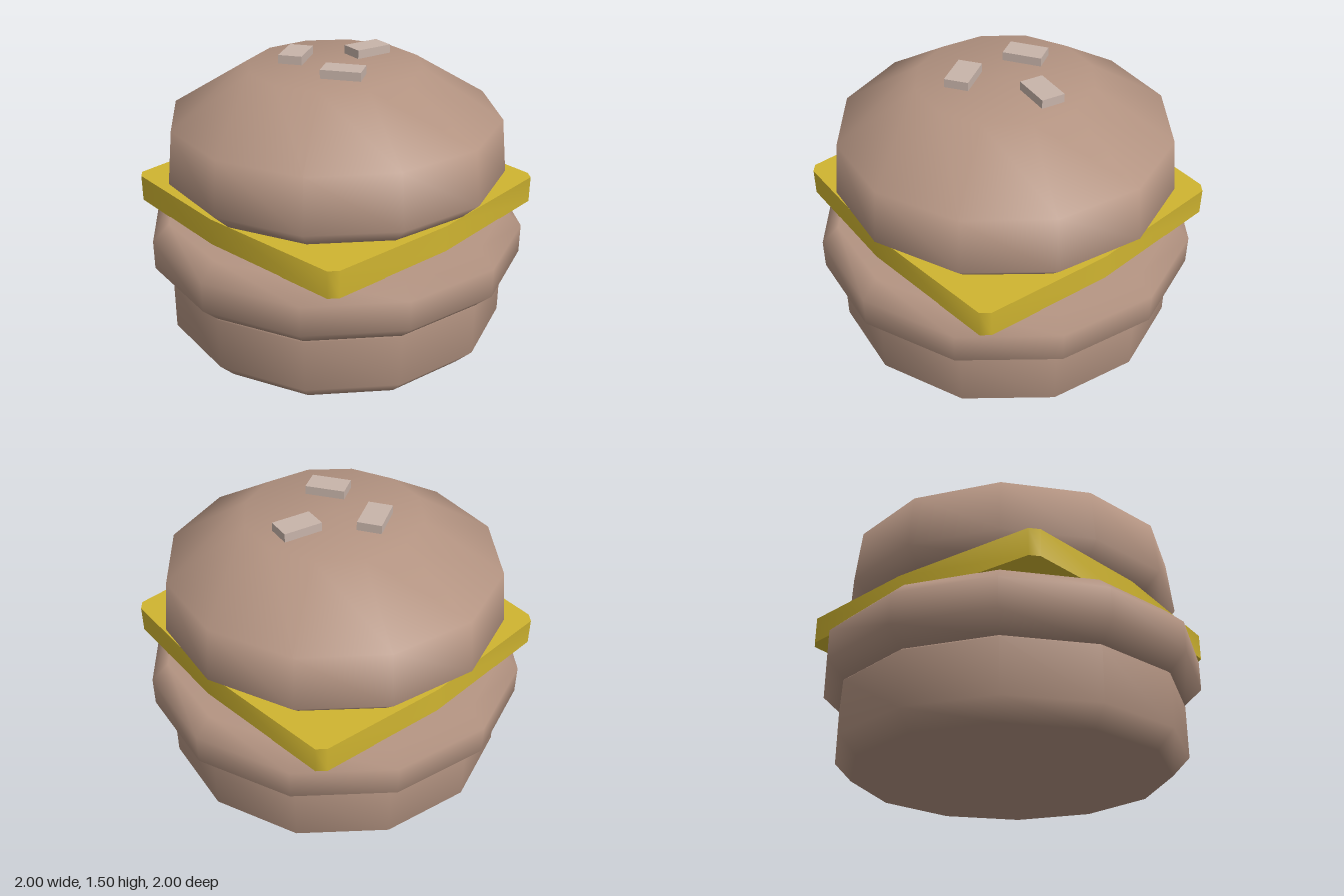
import * as THREE from 'three';
import { toCreasedNormals } from 'three/addons/utils/BufferGeometryUtils.js';

const SIDES = 12;
const material = (name, color) => {
  const m = new THREE.MeshStandardMaterial({ color });
  m.name = name;
  return m;
};

export function createModel() {
  const brown = material('toasted brown', 0xb49482);
  const yellow = material('cheese yellow', 0xcfb430);
  const pale = material('sesame', 0xc8b4aa);

  const model = new THREE.Group();
  model.name = 'burger';
  const add = (name, geometry, mat) => {
    const mesh = new THREE.Mesh(geometry, mat);
    mesh.name = name;
    model.add(mesh);
    return mesh;
  };

  // Round layers: profiles of [radius, height] from bottom to top
  const layers = {
    bottomBun: [[0, 0], [0.82, 0], [0.91, 0.095], [0.91, 0.37], [0.895, 0.385], [0, 0.385]],
    patty: [[0, 0.38], [0.91, 0.38], [1, 0.465], [1, 0.62], [0.91, 0.705], [0, 0.705]],
    topBun: [[0, 0.838], [0.8, 0.838], [0.895, 0.93], [0.865, 1.21], [0.455, 1.46], [0, 1.46]],
  };
  for (const [name, profile] of Object.entries(layers)) {
    const points = profile.map(([r, y]) => new THREE.Vector2(r, y));
    add(name, new THREE.LatheGeometry(points, SIDES), brown);
  }

  // Cheese slice: one cut corner and a bowed edge, repeated by quarter turns
  const outline = [];
  for (let k = 0; k < 4; k++) {
    for (const [x, y] of [[0.345, 0.98], [-0.29, 0.757], [-0.4, 0.965 - 0.0]].slice(0, 2).concat([[-0.965, 0.4]])) {
      outline.push(new THREE.Vector2(x, y).rotateAround(new THREE.Vector2(), k * Math.PI / 2));
    }
  }
  const slice = new THREE.ExtrudeGeometry(new THREE.Shape(outline), { depth: 0.14, bevelEnabled: false });
  slice.rotateX(-Math.PI / 2);
  slice.translate(0, 0.702, 0);
  add('cheeseSlice', toCreasedNormals(slice, 0.9), yellow);

  // Sesame seeds: [x, z, turn]
  const seedGeometry = new THREE.BoxGeometry(0.205, 0.06, 0.125);
  [[-0.16, -0.155, 0.95], [0.225, -0.12, 0.24], [-0.035, 0.205, -0.6]].forEach(([x, z, turn], i) => {
    const seed = add(`seed${i + 1}`, seedGeometry, pale);
    seed.position.set(x, 1.475, z);
    seed.rotation.y = turn;
  });

  return model;
}
